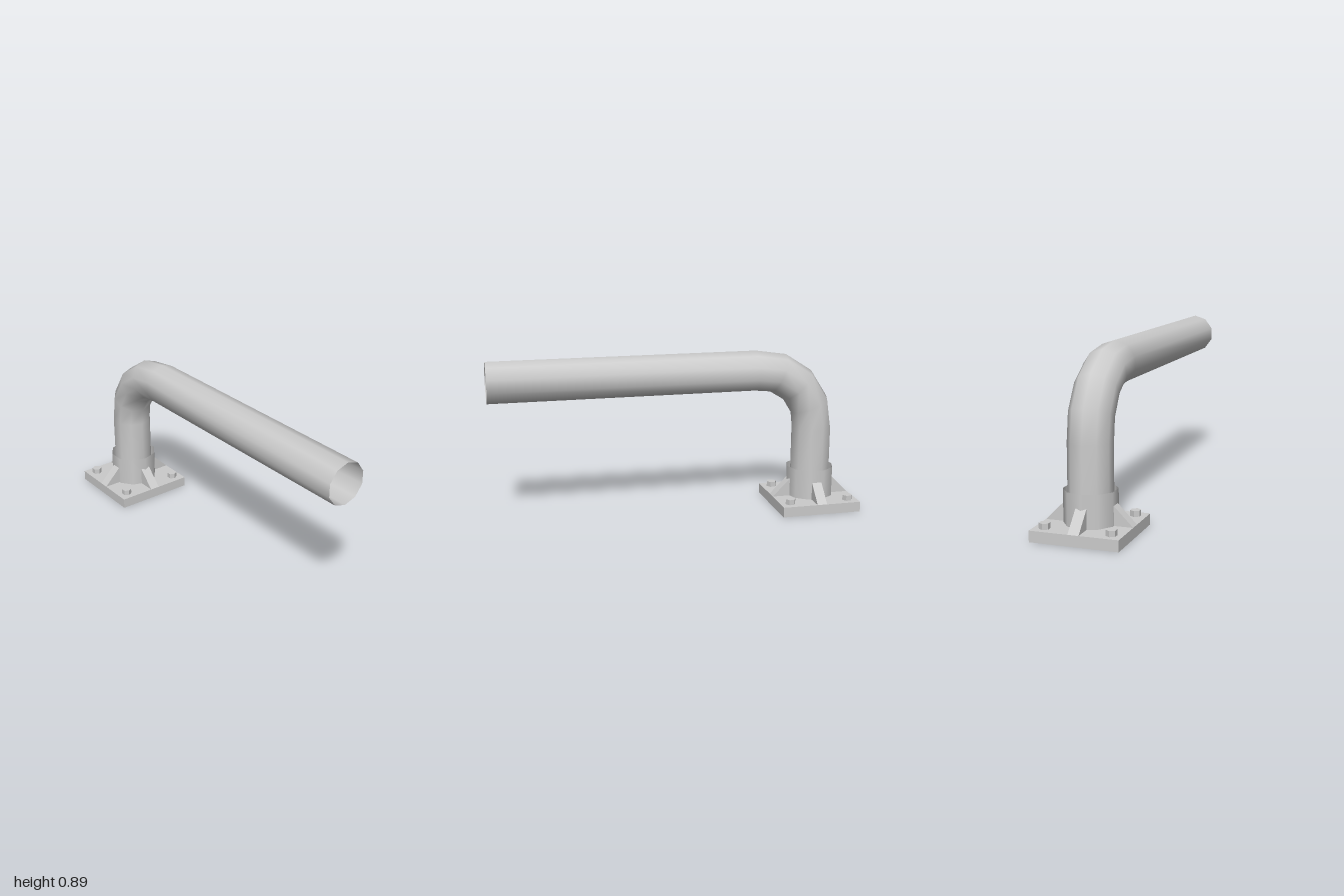
import * as THREE from 'three';

const SIDES = 10;
const AXIS_Z = -0.777; // centre of the upright
const PLATE = 0.444, PLATE_H = 0.056;

const solid = new THREE.MeshStandardMaterial({ color: 0xcccccc });
const open = new THREE.MeshStandardMaterial({ color: 0xcccccc, side: THREE.DoubleSide });

function add(parent, name, geometry, material = solid) {
  const mesh = new THREE.Mesh(geometry, material);
  mesh.name = name;
  parent.add(mesh);
  return mesh;
}

// Bent tube: one ring of vertices per station along the path
function pipeGeometry(radius) {
  const bend = 0.333, cy = 0.445, cz = AXIS_Z + bend;
  const stations = [{ y: PLATE_H, z: AXIS_Z, t: 0 }];
  for (let i = 0; i <= 4; i++) {
    const t = (i / 4) * Math.PI / 2;
    const r = bend + 0.012 * Math.sin(2 * t);
    stations.push({ y: cy + r * Math.sin(t), z: cz - r * Math.cos(t), t });
  }
  stations.push({ y: cy + bend, z: 1, t: Math.PI / 2 });

  const positions = [], index = [];
  stations.forEach(({ y, z, t }, i) => {
    for (let j = 0; j < SIDES; j++) {
      const a = (j / SIDES) * Math.PI * 2;
      const out = radius * Math.cos(a);
      positions.push(radius * Math.sin(a), y + out * Math.sin(t), z - out * Math.cos(t));
      if (i === stations.length - 1) continue;
      const p = i * SIDES + j, q = i * SIDES + (j + 1) % SIDES;
      index.push(p, p + SIDES, q, q, p + SIDES, q + SIDES);
    }
  });
  const g = new THREE.BufferGeometry();
  g.setAttribute('position', new THREE.Float32BufferAttribute(positions, 3));
  g.setIndex(index);
  g.computeVertexNormals();
  return g;
}

// Plate shell without an underside
function plateGeometry() {
  const g = new THREE.BoxGeometry(PLATE, PLATE_H, PLATE);
  const faces = Array.from(g.index.array);
  faces.splice(18, 6);
  g.setIndex(faces);
  g.clearGroups();
  return g;
}

// Triangular gusset from the collar to the plate edge
function ribGeometry() {
  const inner = 0.122, outer = PLATE / 2, width = 0.055;
  const shape = new THREE.Shape([
    new THREE.Vector2(inner, PLATE_H),
    new THREE.Vector2(outer, PLATE_H),
    new THREE.Vector2(inner, PLATE_H + outer - inner),
  ]);
  return new THREE.ExtrudeGeometry(shape, { depth: width, bevelEnabled: false })
    .translate(0, 0, -width / 2);
}

export function createModel() {
  const model = new THREE.Group();
  model.name = 'bentPipeOnFlange';

  add(model, 'pipe', pipeGeometry(0.111), open);

  const flange = new THREE.Group();
  flange.name = 'flange';
  flange.position.z = AXIS_Z;
  model.add(flange);

  add(flange, 'basePlate', plateGeometry(), open).position.y = PLATE_H / 2;

  // Open sleeve around the foot of the pipe
  const collarH = 0.222 - PLATE_H;
  add(flange, 'collar', new THREE.CylinderGeometry(0.132, 0.132, collarH, SIDES, 1, true), open)
    .position.y = PLATE_H + collarH / 2;

  // Gussets on all four sides
  const rib = ribGeometry();
  for (let i = 0; i < 4; i++) add(flange, 'rib', rib).rotation.y = i * Math.PI / 2;

  // Hexagonal bolt heads in the corners
  const bolt = new THREE.CylinderGeometry(0.0275, 0.0275, 0.029, 6).toNonIndexed();
  bolt.computeVertexNormals();
  for (const x of [-1, 1]) for (const z of [-1, 1]) {
    add(flange, 'bolt', bolt).position.set(x * 0.166, PLATE_H + 0.0145, z * 0.166);
  }
  return model;
}
